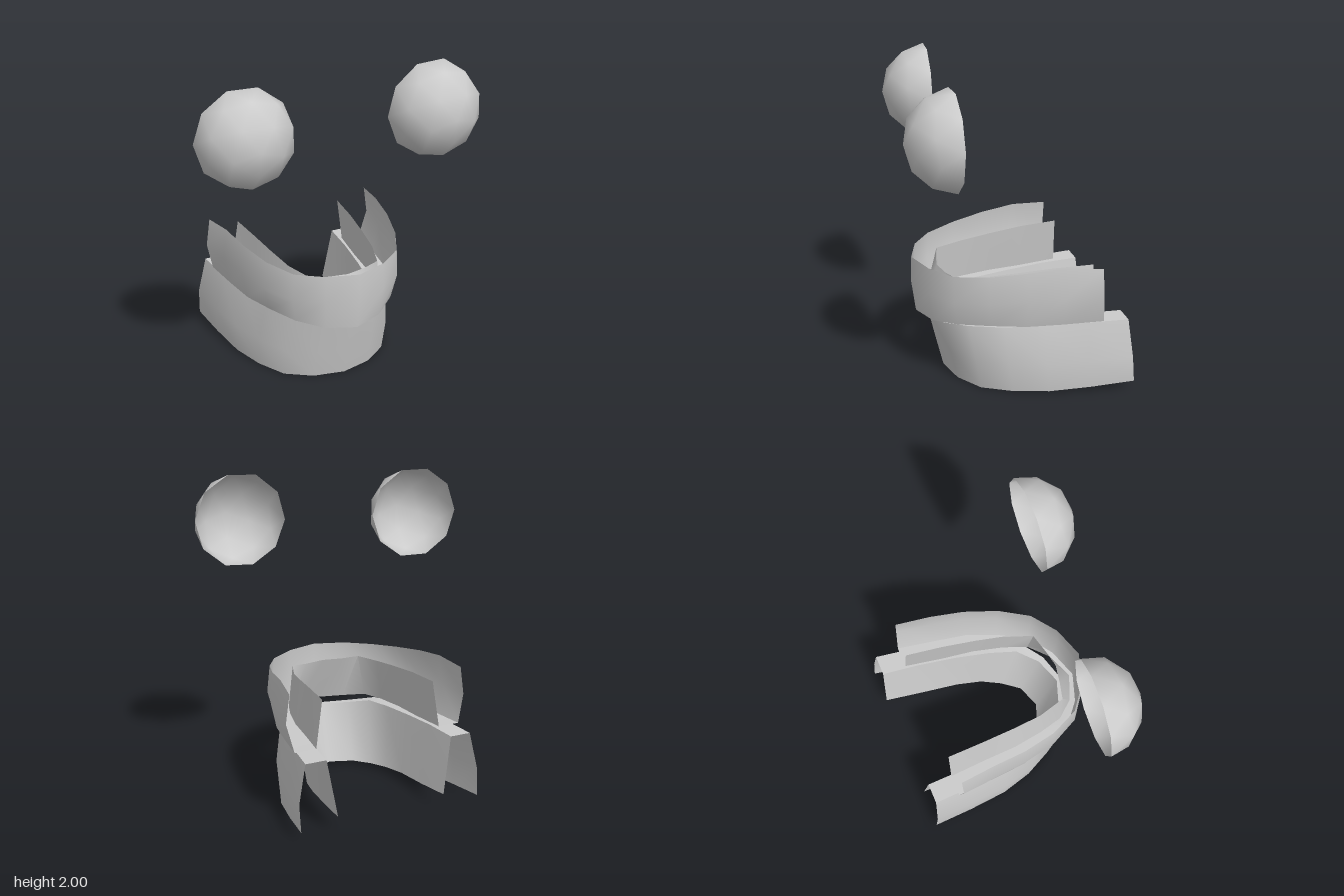
import * as THREE from 'three';
import { toCreasedNormals } from 'three/addons/utils/BufferGeometryUtils.js';

const material = new THREE.MeshStandardMaterial({ color: 0xcccccc, side: THREE.DoubleSide });

// Front half of a low-poly icosphere, pole turned to +z, open at the back
function domeGeometry(radius, depth) {
  const ball = new THREE.IcosahedronGeometry(radius, 1);
  ball.rotateX(Math.atan(2 / (1 + Math.sqrt(5))));
  const p = ball.attributes.position, n = ball.attributes.normal;
  const pos = [], nor = [];
  for (let i = 0; i < p.count; i += 3) {
    if (p.getZ(i) + p.getZ(i + 1) + p.getZ(i + 2) < 0.001) continue;
    for (let k = i; k < i + 3; k++) {
      pos.push(p.getX(k), p.getY(k), p.getZ(k));
      nor.push(n.getX(k), n.getY(k), n.getZ(k));
    }
  }
  const g = new THREE.BufferGeometry();
  g.setAttribute('position', new THREE.Float32BufferAttribute(pos, 3));
  g.setAttribute('normal', new THREE.Float32BufferAttribute(nor, 3));
  return g.scale(1, 1, depth / radius);
}

// Arched channel: each edge line runs from the front middle to one end as
// [sideways offset, y, z] and is mirrored to the other side
const ARCH_X = 0.04, SKEW = 0.05;
function channelGeometry(edges) {
  const lines = edges.map((half) => [
    ...half.slice(1).reverse().map(([x, y, z]) => [-x, y, z]),
    ...half,
  ]);
  const columns = lines[0].length, pos = [], index = [];
  for (const line of lines) {
    for (const [x, y, z] of line) pos.push(x + ARCH_X, y, z - SKEW * x);
  }
  for (let r = 0; r < lines.length - 1; r++) {
    for (let c = 0; c < columns - 1; c++) {
      const a = r * columns + c, b = a + columns;
      index.push(a, b, a + 1, b, b + 1, a + 1);
    }
  }
  const g = new THREE.BufferGeometry();
  g.setAttribute('position', new THREE.Float32BufferAttribute(pos, 3));
  g.setIndex(index);
  return toCreasedNormals(g, 0.75);
}

// Upper channel, open at the top: outer rim, outer bulge, two bottom edges, inner rim
const UPPER = [
  [[0, .79, .595], [.2, .79, .53], [.36, .79, .41], [.46, .81, .22], [.52, .84, 0], [.55, .865, -.22], [.58, .85, -.45]],
  [[0, .62, .6], [.2, .62, .54], [.37, .62, .415], [.48, .64, .22], [.54, .66, 0], [.575, .67, -.22], [.605, .67, -.45]],
  [[0, .42, .575], [.19, .43, .51], [.34, .46, .39], [.43, .47, .2], [.5, .475, 0], [.53, .48, -.22], [.56, .49, -.47]],
  [[0, .42, .55], [.17, .43, .48], [.28, .46, .36], [.33, .47, .2], [.37, .475, 0], [.39, .48, -.22], [.42, .49, -.47]],
  [[0, .72, .435], [.13, .72, .41], [.24, .73, .38], [.3, .74, .2], [.33, .76, 0], [.355, .78, -.22], [.375, .79, -.46]],
];

// Lower channel, open at the bottom: outer rim, outer bulge, two top edges, inner rim
const LOWER = [
  [[0, .01, .405], [.2, .01, .36], [.36, .01, .25], [.46, .015, .07], [.53, .025, -.14], [.57, .045, -.4], [.6, .07, -.665]],
  [[0, .2, .45], [.2, .2, .4], [.37, .2, .28], [.47, .21, .1], [.54, .22, -.12], [.58, .23, -.38], [.605, .24, -.65]],
  [[0, .4, .495], [.19, .405, .44], [.34, .44, .32], [.43, .45, .12], [.48, .46, -.12], [.53, .475, -.38], [.555, .48, -.63]],
  [[0, .4, .46], [.17, .405, .4], [.28, .44, .28], [.33, .45, .1], [.37, .46, -.12], [.4, .475, -.38], [.42, .48, -.63]],
  [[0, .03, .32], [.15, .03, .265], [.23, .04, .15], [.29, .05, .02], [.32, .07, -.15], [.34, .09, -.4], [.36, .12, -.66]],
];

export function createModel() {
  const group = new THREE.Group();
  const add = (name, geometry, position = [0, 0, 0], rotation = [0, 0, 0]) => {
    const mesh = new THREE.Mesh(geometry, material);
    mesh.name = name;
    mesh.position.set(...position);
    mesh.rotation.set(...rotation);
    group.add(mesh);
  };

  // Eyes: two shallowly turned open domes
  const dome = domeGeometry(0.3, 0.285);
  add('rightEye', dome, [-0.597, 1.685, 0.37], [0, -0.025, 0]);
  add('leftEye', dome, [0.592, 1.715, 0.42], [0, 0.035, 0.06]);

  // Jaws
  add('upperJaw', channelGeometry(UPPER));
  add('lowerJaw', channelGeometry(LOWER));
  return group;
}
